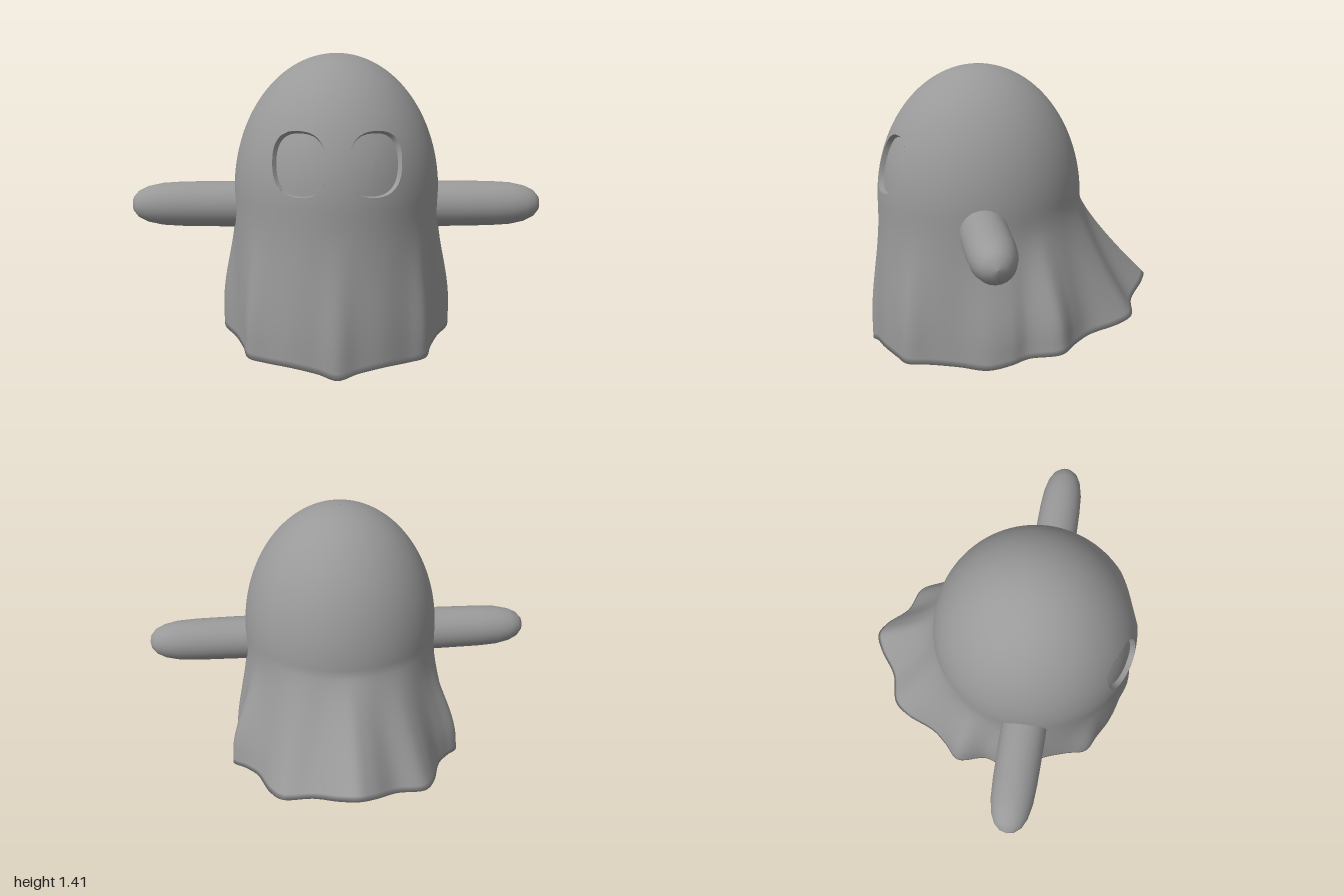
import * as THREE from 'three';

const sheet = new THREE.MeshStandardMaterial({ color: 0x999999, side: THREE.DoubleSide });
sheet.name = 'sheet grey';

// Dome: half ellipsoid sitting on the skirt
const DOME = { y: 0.75, z: 0.15, rx: 0.497, ry: 0.66, rz: 0.512 };
const frontZ = (x, y) => DOME.z + DOME.rz *
  Math.sqrt(Math.max(0, 1 - (x / DOME.rx) ** 2 - ((y - DOME.y) / DOME.ry) ** 2));

// Eye outline: a rounded oval
const EYE = { x: 0.167, y: 0.95, rx: 0.118, ry: 0.14, power: 2.5 };
const eyeRadius = (x, y) => (Math.abs((Math.abs(x) - EYE.x) / EYE.rx) ** EYE.power +
  Math.abs((y - EYE.y) / EYE.ry) ** EYE.power) ** (1 / EYE.power);

// Wavy hem, front to back on one side
const HEM = [
  [0, 0, 0.715], [0.09, 0.018, 0.685], [0.21, 0.033, 0.65], [0.32, 0.028, 0.59],
  [0.41, 0.03, 0.54], [0.445, 0.035, 0.43], [0.495, 0.038, 0.3], [0.565, 0.045, 0.17],
  [0.575, 0.07, 0.06], [0.56, 0.09, -0.02], [0.6, 0.12, -0.17], [0.53, 0.14, -0.25],
  [0.47, 0.155, -0.33], [0.41, 0.175, -0.49], [0.35, 0.19, -0.57], [0.205, 0.22, -0.61],
  [0.085, 0.27, -0.7], [0, 0.29, -0.735],
];

function gridGeometry(positions, rows, cols, keep = () => true) {
  const index = [];
  for (let i = 0; i < rows - 1; i++) {
    for (let j = 0; j < cols; j++) {
      const k = (j + 1) % cols;
      const a = i * cols + j, b = (i + 1) * cols + j, c = (i + 1) * cols + k, d = i * cols + k;
      if (keep(a, b, d)) index.push(a, b, d);
      if (keep(b, c, d)) index.push(b, c, d);
    }
  }
  const g = new THREE.BufferGeometry();
  g.setAttribute('position', new THREE.Float32BufferAttribute(positions, 3));
  g.setIndex(index);
  g.computeVertexNormals();
  return g;
}

// Draped sheet with openings for the eyes
function bodyGeometry() {
  const half = HEM.map(p => new THREE.Vector3(...p));
  const other = half.slice(1, -1).reverse().map(p => new THREE.Vector3(-p.x, p.y, p.z));
  const curve = new THREE.CatmullRomCurve3([...half, ...other], true, 'centripetal');
  const cols = 34 * 6, domeRows = 48, skirtRows = 24;
  const columns = Array.from({ length: cols }, (_, j) => {
    const hem = curve.getPoint(j / cols);
    const a = Math.atan2(hem.x / DOME.rx, (hem.z - DOME.z) / DOME.rz);
    return { hem, sin: Math.sin(a), cos: Math.cos(a) };
  });
  const pos = [], inEye = [];

  for (let i = 0; i < domeRows; i++) {
    const phi = Math.max(0.002, i / domeRows * Math.PI / 2);
    for (const { sin, cos } of columns) {
      let x = DOME.rx * Math.sin(phi) * sin;
      let y = DOME.y + DOME.ry * Math.cos(phi);
      let z = DOME.z + DOME.rz * Math.sin(phi) * cos;
      const r = cos > 0 ? eyeRadius(x, y) : 9;
      if (r < 1 && r > 0.65) { // pull nearby points onto the eye outline
        const cx = Math.sign(x) * EYE.x;
        x = cx + (x - cx) / r;
        y = EYE.y + (y - EYE.y) / r;
        z = frontZ(x, y);
      }
      pos.push(x, y, z);
      inEye.push(r < 1);
    }
  }
  for (let i = 0; i <= skirtRows; i++) {
    const s = i / skirtRows;
    for (const { hem, sin, cos } of columns) {
      const back = THREE.MathUtils.smoothstep(-cos, 0.2, 0.9);
      const f = THREE.MathUtils.lerp(THREE.MathUtils.smoothstep(s, 0.08, 0.87), s ** 1.25, back);
      pos.push(
        THREE.MathUtils.lerp(DOME.rx * sin, hem.x, f),
        THREE.MathUtils.lerp(DOME.y, hem.y, s),
        THREE.MathUtils.lerp(DOME.z + DOME.rz * cos, hem.z, f));
      inEye.push(false);
    }
  }
  // Narrow turned-in edge along the hem
  for (const { hem } of columns) {
    pos.push(hem.x * 0.97, hem.y + 0.012, DOME.z + (hem.z - DOME.z) * 0.97);
    inEye.push(false);
  }
  return gridGeometry(pos, domeRows + skirtRows + 2, cols,
    (a, b, c) => !(inEye[a] && inEye[b] && inEye[c]));
}

// Ring-by-ring eye surface: scale of the outline and depth below the sheet
function eyeGeometry(side, rings) {
  const cols = 48, pos = [];
  for (const [scale, depth] of rings) {
    for (let j = 0; j < cols; j++) {
      const t = j / cols * Math.PI * 2, c = Math.cos(t), s = Math.sin(t);
      const k = scale / (Math.abs(c) ** EYE.power + Math.abs(s) ** EYE.power) ** (1 / EYE.power);
      const x = side * EYE.x + EYE.rx * c * k, y = EYE.y + EYE.ry * s * k;
      const n = new THREE.Vector3(x / DOME.rx ** 2, (y - DOME.y) / DOME.ry ** 2,
        (frontZ(x, y) - DOME.z) / DOME.rz ** 2).normalize();
      pos.push(x - n.x * depth, y - n.y * depth, frontZ(x, y) - n.z * depth);
    }
  }
  // Columns run counter-clockwise and rings run inward, so faces look outward
  const g = gridGeometry(pos, rings.length, cols);
  g.index.array.reverse();
  g.computeVertexNormals();
  return g;
}

function armGeometry() {
  const profile = [[0.112, 0.3], [0.112, 0.55], [0.109, 0.75], [0.103, 0.85], [0.088, 0.92],
    [0.066, 0.965], [0.036, 0.991], [0, 1]].map(p => new THREE.Vector2(...p));
  return new THREE.LatheGeometry(profile, 24);
}

export function createModel() {
  const model = new THREE.Group();
  model.name = 'ghost';
  const add = (name, geometry, parent = model) => {
    const mesh = new THREE.Mesh(geometry, sheet);
    mesh.name = name;
    parent.add(mesh);
    return mesh;
  };

  add('body', bodyGeometry());

  for (const [label, side] of [['left', 1], ['right', -1]]) {
    // Sunken eye: crisp rim wall and curved floor
    const eye = new THREE.Group();
    eye.name = label + 'Eye';
    model.add(eye);
    add('eyeRim', eyeGeometry(side, [[1, 0], [0.98, 0.025]]), eye);
    add('eyeFloor', eyeGeometry(side, [0.98, 0.8, 0.6, 0.4, 0.2, 0.001].map(s => [s, 0.025])), eye);

    // Straight rounded arm, open inside the sheet
    const arm = add(label + 'Arm', armGeometry());
    arm.rotation.z = -side * Math.PI / 2;
    arm.position.set(0, 0.682, 0.175);
  }
  return model;
}
